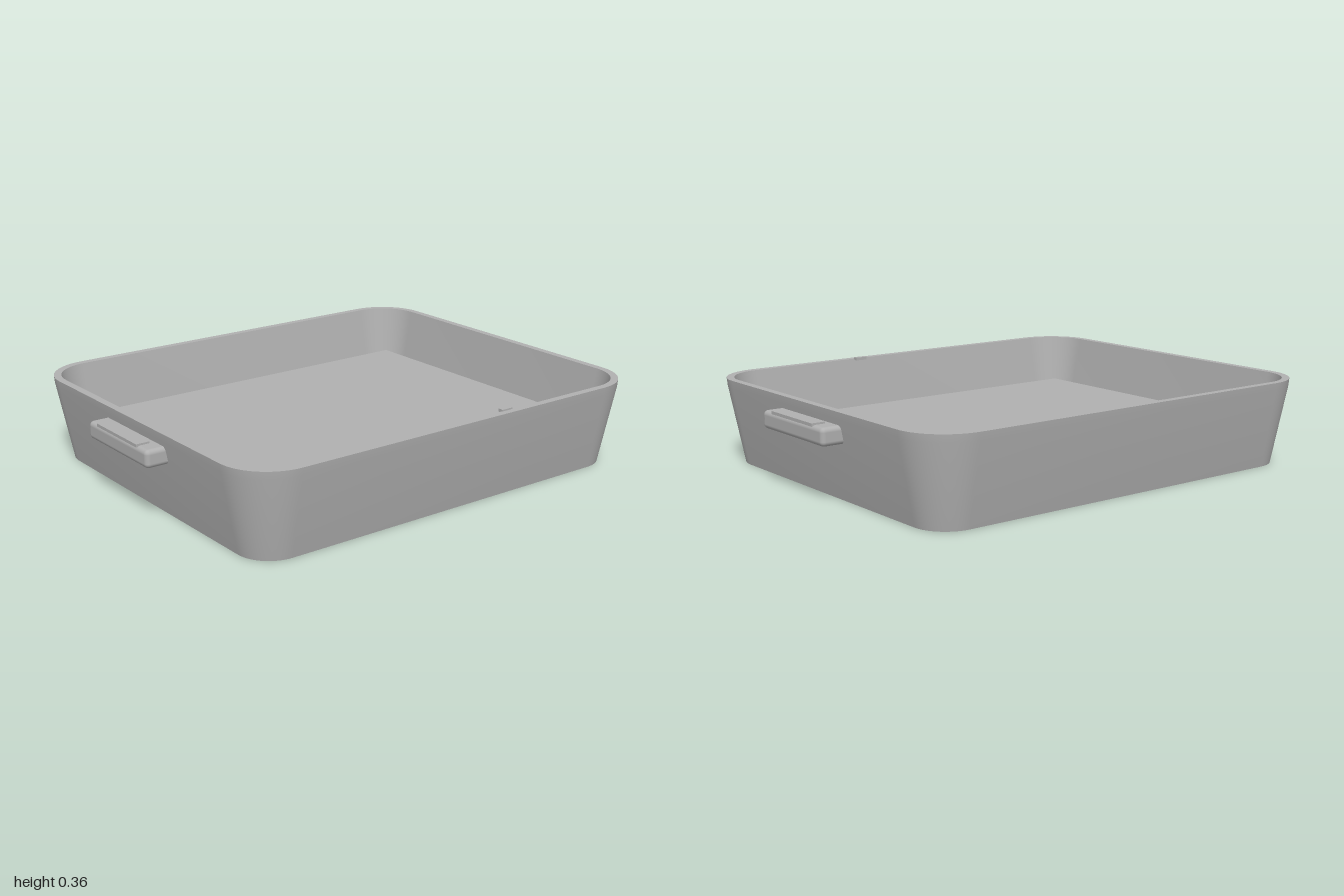
import * as THREE from 'three';
import { toCreasedNormals } from 'three/addons/utils/BufferGeometryUtils.js';
import { RoundedBoxGeometry } from 'three/addons/geometries/RoundedBoxGeometry.js';

// Centres of the corner arcs; every ring of the tray is an offset of this rectangle
const CX = 0.73, CZ = 0.585, ARC = 14;

// Rounded rectangle ring, with corner radius r at height y
function ring(r, y, scale = 1) {
  const points = [];
  for (let corner = 0; corner < 4; corner++) {
    const sx = corner === 0 || corner === 3 ? 1 : -1;
    const sz = corner < 2 ? 1 : -1;
    for (let i = 0; i <= ARC; i++) {
      const a = (corner + i / ARC) * Math.PI / 2;
      points.push([scale * (sx * CX + r * Math.cos(a)), y, scale * (sz * CZ + r * Math.sin(a))]);
    }
  }
  return points;
}

// Skin over successive rings
function loft(rings) {
  const positions = [];
  for (let j = 0; j < rings.length - 1; j++) {
    const low = rings[j], high = rings[j + 1], n = low.length;
    for (let i = 0; i < n; i++) {
      const k = (i + 1) % n;
      if (j > 0) positions.push(...low[i], ...high[k], ...low[k]);
      if (j < rings.length - 2) positions.push(...low[i], ...high[i], ...high[k]);
    }
  }
  // Closing triangles of the last fan share its centre point, so they come from the first half above
  const geometry = new THREE.BufferGeometry();
  geometry.setAttribute('position', new THREE.Float32BufferAttribute(positions, 3));
  return toCreasedNormals(geometry, 0.5);
}

export function createModel() {
  const model = new THREE.Group();
  const grey = new THREE.MeshStandardMaterial({ color: 0xb0b0b0 });
  grey.name = 'grey';

  const add = (name, geometry, x, y, z, parent = model) => {
    const mesh = new THREE.Mesh(geometry, grey);
    mesh.name = name;
    mesh.position.set(x, y, z);
    parent.add(mesh);
    return mesh;
  };

  // Tapered tray: underside, outer wall, rim, inner wall, inside bottom
  const tray = loft([
    ring(0, 0, 0),
    ring(0.135, 0),
    ring(0.197, 0.32),
    ring(0.2, 0.35),
    ring(0.17, 0.35),
    ring(0.115, 0.05),
    ring(0, 0.05, 0),
  ]);
  add('tray', tray, 0, 0, 0);

  // Raised floor block inside the tray
  add('floor', new THREE.BoxGeometry(1.65, 0.115, 1.36), 0, 0.0975, 0);

  // Side handles, each with a thin grip pad on top
  for (const side of [1, -1]) {
    const handle = new THREE.Group();
    handle.name = side > 0 ? 'leftHandle' : 'rightHandle';
    add('handleBar', new RoundedBoxGeometry(0.11, 0.07, 0.43, 4, 0.018), side * 0.945, 0.265, 0, handle);
    add('gripPad', new THREE.BoxGeometry(0.055, 0.012, 0.29), side * 0.9725, 0.301, 0, handle);
    model.add(handle);
  }

  // Small tab on the front rim
  add('rimTab', new THREE.BoxGeometry(0.05, 0.012, 0.022), 0.23, 0.35, 0.747);

  return model;
}
